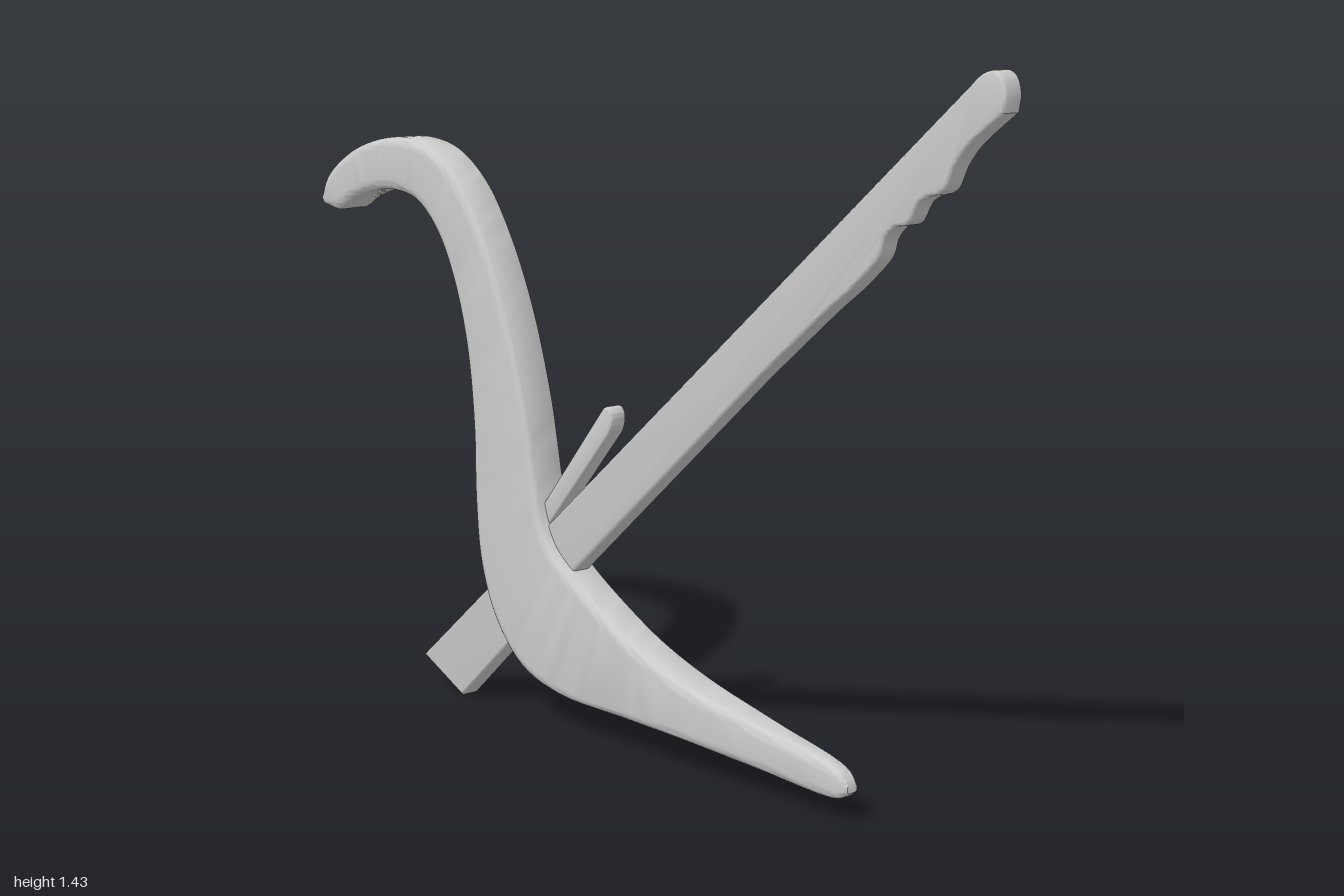
import * as THREE from 'three';
import { toCreasedNormals, mergeVertices } from 'three/addons/utils/BufferGeometryUtils.js';

const material = new THREE.MeshStandardMaterial({ color: 0xcccccc });

// Ribs across the curved body, from the hooked tip to the foot:
// [upper edge x, y, lower edge x, y, half thickness]
const RIBS = [
  [-0.999, 1.083, -0.985, 1.062, 0.038],
  [-0.975, 1.125, -0.93, 1.055, 0.046],
  [-0.9, 1.18, -0.875, 1.083, 0.047],
  [-0.8, 1.217, -0.79, 1.108, 0.047],
  [-0.69, 1.23, -0.71, 1.112, 0.047],
  [-0.585, 1.21, -0.635, 1.093, 0.047],
  [-0.49, 1.145, -0.565, 1.03, 0.047],
  [-0.41, 1.035, -0.51, 0.93, 0.047],
  [-0.335, 0.88, -0.468, 0.79, 0.047],
  [-0.275, 0.69, -0.447, 0.62, 0.047],
  [-0.24, 0.52, -0.443, 0.46, 0.047],
  [-0.218, 0.44, -0.425, 0.32, 0.047],
  [-0.19, 0.395, -0.375, 0.205, 0.047],
  [-0.14, 0.355, -0.29, 0.12, 0.047],
  [-0.05, 0.3, -0.17, 0.083, 0.047],
  [0.07, 0.238, 0.03, 0.076, 0.047],
  [0.21, 0.188, 0.21, 0.071, 0.047],
  [0.4, 0.148, 0.4, 0.057, 0.036],
  [0.6, 0.108, 0.6, 0.042, 0.023],
  [0.628, 0.094, 0.628, 0.047, 0.02],
  [0.645, 0.075, 0.645, 0.059, 0.013],
];

// Loft of rounded rectangles along the ribs
function bodyGeometry() {
  const edge = (i) => new THREE.CatmullRomCurve3(RIBS.map((r) => new THREE.Vector3(r[i], r[i + 1], r[4])));
  const upper = edge(0), lower = edge(2);
  const rings = (RIBS.length - 1) * 5, cornerSteps = 5, n = 4 * (cornerSteps + 1);
  const pos = [], index = [];
  for (let i = 0; i <= rings; i++) {
    const a = upper.getPoint(i / rings), b = lower.getPoint(i / rings);
    const half = Math.hypot(b.x - a.x, b.y - a.y) / 2;
    const dx = (b.x - a.x) / (2 * half), dy = (b.y - a.y) / (2 * half);
    const ru = Math.min(0.024, half * 0.6), rz = Math.min(0.016, a.z * 0.5);
    for (let c = 0; c < 4; c++) {
      const su = c === 0 || c === 3 ? -1 : 1, sz = c < 2 ? 1 : -1;
      for (let k = 0; k <= cornerSteps; k++) {
        const t = Math.PI - (c + k / cornerSteps) * Math.PI / 2;
        const u = su * (half - ru) + ru * Math.cos(t);
        pos.push((a.x + b.x) / 2 + dx * u, (a.y + b.y) / 2 + dy * u, sz * (a.z - rz) + rz * Math.sin(t));
      }
    }
  }
  for (let i = 0; i < rings; i++) {
    for (let j = 0; j < n; j++) {
      const p = i * n + j, q = i * n + (j + 1) % n;
      index.push(p, q, q + n, p, q + n, p + n);
    }
  }
  // End caps
  for (let j = 1; j < n - 1; j++) {
    index.push(0, j + 1, j);
    index.push(rings * n, rings * n + j, rings * n + j + 1);
  }
  const g = new THREE.BufferGeometry();
  g.setAttribute('position', new THREE.Float32BufferAttribute(pos, 3));
  g.setIndex(index);
  return toCreasedNormals(mergeVertices(g), 0.7);
}

// Flat bar cut from an outline, with softened edges, centred on z = 0
function barGeometry(shape, half, bevel) {
  const g = new THREE.ExtrudeGeometry(shape, {
    depth: 2 * (half - bevel), bevelThickness: bevel, bevelSize: bevel,
    bevelOffset: -bevel, bevelSegments: 3, curveSegments: 8,
  });
  g.translate(0, 0, -(half - bevel));
  return toCreasedNormals(g, 0.6);
}

function add(group, name, geometry) {
  const mesh = new THREE.Mesh(geometry, material);
  mesh.name = name;
  group.add(mesh);
}

export function createModel() {
  const group = new THREE.Group();
  group.name = 'leverTool';

  add(group, 'curvedBody', bodyGeometry());

  // Long bar with finger notches under its upper end
  const bar = new THREE.Shape();
  bar.moveTo(-0.655, 0.07);
  bar.lineTo(-0.52, 0.003);
  bar.lineTo(-0.13, 0.36);
  bar.lineTo(0.4, 0.825);
  bar.splineThru([
    [0.57, 0.966], [0.64, 1.02], [0.705, 1.08], [0.722, 1.12], [0.745, 1.143],
    [0.778, 1.153], [0.8, 1.188], [0.82, 1.202], [0.86, 1.217], [0.885, 1.263],
    [0.92, 1.303], [0.992, 1.358],
  ].map(([x, y]) => new THREE.Vector2(x, y)));
  bar.lineTo(0.997, 1.385);
  bar.quadraticCurveTo(0.995, 1.425, 0.97, 1.431);
  bar.quadraticCurveTo(0.945, 1.432, 0.92, 1.406);
  bar.closePath();
  add(group, 'handleBar', barGeometry(bar, 0.0235, 0.006));

  // Short prong in the crook between body and bar
  const prong = new THREE.Shape();
  prong.moveTo(-0.24, 0.48);
  prong.lineTo(-0.22, 0.44);
  prong.lineTo(-0.03, 0.66);
  prong.quadraticCurveTo(-0.018, 0.68, -0.021, 0.7);
  prong.quadraticCurveTo(-0.03, 0.722, -0.047, 0.712);
  prong.closePath();
  add(group, 'prong', barGeometry(prong, 0.021, 0.006));

  return group;
}
